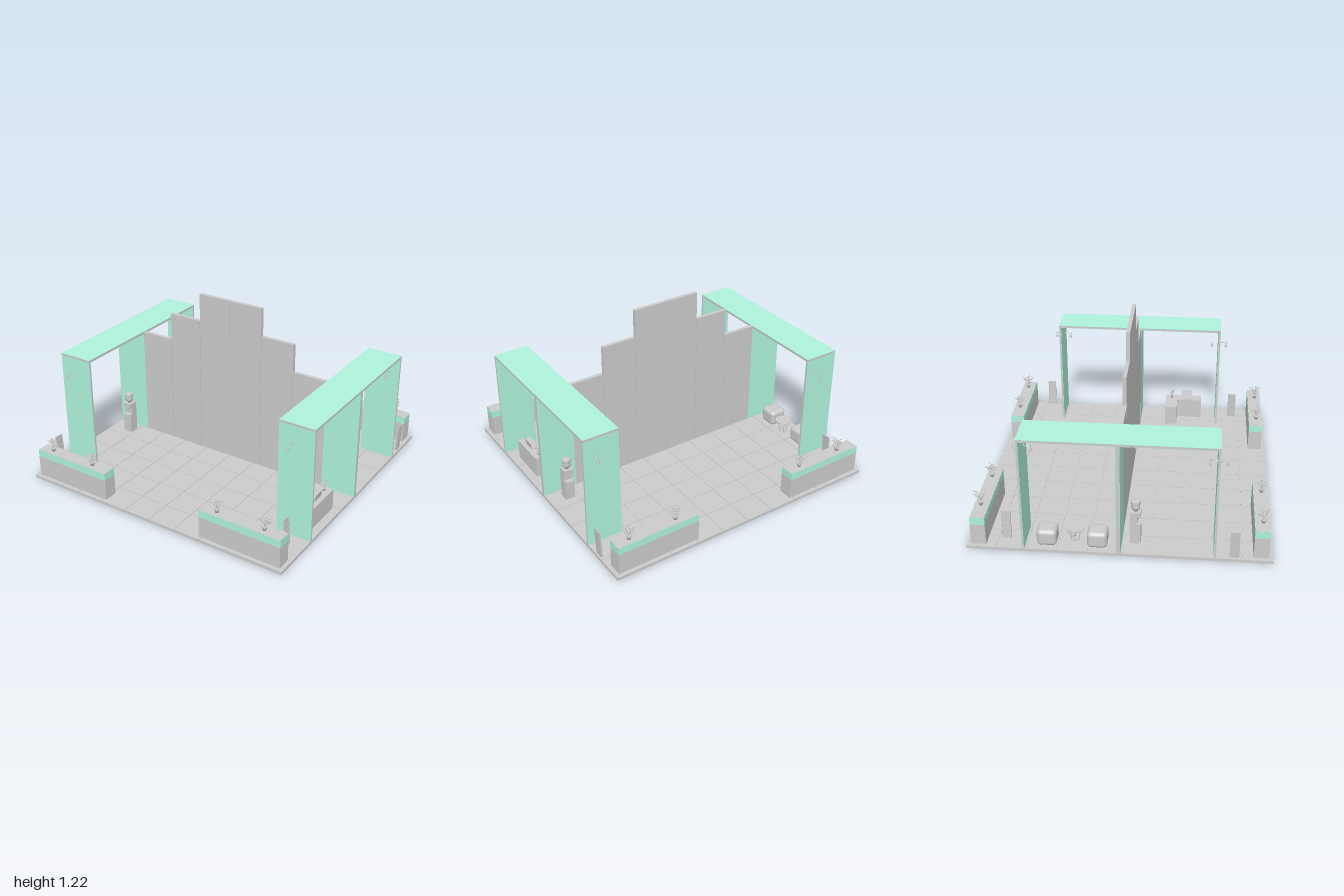
import * as THREE from 'three';
import { RoundedBoxGeometry } from 'three/addons/geometries/RoundedBoxGeometry.js';
import { mergeGeometries } from 'three/addons/utils/BufferGeometryUtils.js';

const grey = new THREE.MeshStandardMaterial({ color: 0xcccccc });
const green = new THREE.MeshStandardMaterial({ color: 0xaff3dc });
const leafMat = new THREE.MeshStandardMaterial({ color: 0xcccccc, side: THREE.DoubleSide });
const FLOOR = 0.02;

function add(parent, name, geo, x = 0, y = 0, z = 0, mat = grey) {
  const m = new THREE.Mesh(geo, mat);
  m.name = name;
  m.position.set(x, y, z);
  parent.add(m);
  return m;
}
// Box given by its centre in x and z and its bottom in y
function box(parent, name, w, h, d, x, y, z, mat = grey) {
  return add(parent, name, new THREE.BoxGeometry(w, h, d), x, y + h / 2, z, mat);
}
function group(parent, name, x = 0, y = 0, z = 0) {
  const g = new THREE.Group();
  g.name = name;
  g.position.set(x, y, z);
  parent.add(g);
  return g;
}
function seeded(seed) {
  let s = seed * 7919 + 17;
  return () => (s = (s * 16807) % 2147483647) / 2147483647;
}

// Potted plant: tapered pot, curved stems and flattened leaves
function plant(parent, x, y, z, seed, size = 1) {
  const g = group(parent, 'pottedPlant', x, y, z);
  g.scale.setScalar(size);
  const pot = [[0, 0], [0.011, 0], [0.015, 0.022], [0.018, 0.022], [0.018, 0.027], [0.014, 0.027], [0.013, 0.023], [0, 0.023]];
  add(g, 'pot', new THREE.LatheGeometry(pot.map(p => new THREE.Vector2(...p)), 16));
  const rnd = seeded(seed), stems = [], leaves = [];
  for (let i = 0; i < 9; i++) {
    const a = i * 2.4 + rnd() * 0.5, r = 0.012 + 0.026 * rnd(), top = 0.055 + 0.042 * rnd();
    const tip = new THREE.Vector3(Math.cos(a) * r, top, Math.sin(a) * r);
    const curve = new THREE.QuadraticBezierCurve3(
      new THREE.Vector3(0, 0.022, 0), new THREE.Vector3(tip.x * 0.3, top * 0.75, tip.z * 0.3), tip);
    stems.push(new THREE.TubeGeometry(curve, 5, 0.0011, 5));
    for (let k = 0; k < 5; k++) {
      const p = curve.getPoint(1 - 0.1 * k), b = a + k * 2.2;
      const leaf = new THREE.SphereGeometry(0.0095, 7, 4);
      leaf.scale(1, 0.22, 0.6);
      leaf.rotateZ(rnd() - 0.4);
      leaf.rotateY(-b);
      leaf.translate(p.x + Math.cos(b) * 0.009, p.y, p.z + Math.sin(b) * 0.009);
      leaves.push(leaf);
    }
  }
  add(g, 'stems', mergeGeometries(stems));
  add(g, 'leaves', mergeGeometries(leaves), 0, 0, 0, leafMat);
}

// Bracket lamp reaching along +z, with its head hanging down
function lamp(parent, x, z, dir) {
  const g = group(parent, 'spotlight', x, 0.688, z);
  if (dir < 0) g.rotation.y = Math.PI;
  add(g, 'wallPlate', new THREE.CylinderGeometry(0.008, 0.008, 0.004, 12).rotateX(Math.PI / 2), 0, 0, 0.002);
  add(g, 'arm', new THREE.CylinderGeometry(0.002, 0.002, 0.055, 8).rotateX(Math.PI / 2), 0, 0, 0.027);
  add(g, 'joint', new THREE.SphereGeometry(0.004, 10, 8), 0, 0, 0.052);
  add(g, 'neck', new THREE.CylinderGeometry(0.002, 0.002, 0.016, 8), 0, -0.007, 0.045);
  add(g, 'lampHead', new THREE.CylinderGeometry(0.006, 0.01, 0.022, 14), 0, -0.024, 0.045);
}

// Panel with green faces and grey edges; the skin follows the thin axis
function portalPanel(parent, name, w, h, d, x, y, z) {
  const s = 0.002, flat = h < d;
  const g = group(parent, name, x, y, z);
  add(g, 'core', new THREE.BoxGeometry(w, h, d));
  for (const k of [-1, 1]) {
    const skin = flat ? new THREE.BoxGeometry(w, s, d) : new THREE.BoxGeometry(w, h, s);
    add(g, 'skin', skin, 0, flat ? k * (h + s) / 2 : 0, flat ? 0 : k * (d + s) / 2, green);
  }
}

// Leaning leaflet stand with pockets, facing +x
function leafletStand(parent, x, z, turn) {
  const g = group(parent, 'leafletStand', x, FLOOR, z);
  if (turn) g.rotation.y = Math.PI;
  const board = group(g, 'board');
  board.rotation.z = 0.05;
  box(board, 'backBoard', 0.004, 0.2, 0.06, 0, 0, 0);
  for (const s of [-1, 1]) box(board, 'sideRail', 0.011, 0.2, 0.003, 0.004, 0, s * 0.0285);
  for (let i = 0; i < 4; i++) {
    box(board, 'pocketShelf', 0.011, 0.003, 0.06, 0.004, 0.012 + i * 0.046, 0);
    box(board, 'pocketFront', 0.002, 0.02, 0.06, 0.009, 0.012 + i * 0.046, 0);
  }
}

// Water dispenser facing +z
function waterDispenser(parent, x, z, turn) {
  const g = group(parent, 'waterDispenser', x, FLOOR, z);
  if (turn) g.rotation.y = Math.PI;
  box(g, 'cabinet', 0.068, 0.145, 0.068, 0, 0, 0);
  box(g, 'backPart', 0.068, 0.055, 0.045, 0, 0.145, -0.0115);
  box(g, 'topPart', 0.068, 0.033, 0.068, 0, 0.2, 0);
  box(g, 'dripTray', 0.05, 0.006, 0.024, 0, 0.138, 0.032);
  for (const s of [-1, 1]) {
    add(g, 'tap', new THREE.CylinderGeometry(0.004, 0.004, 0.018, 10), s * 0.015, 0.186, 0.02);
    box(g, 'tapLever', 0.006, 0.004, 0.014, s * 0.015, 0.194, 0.018);
  }
  const bottle = [[0, 0.232], [0.014, 0.232], [0.014, 0.242], [0.028, 0.252], [0.029, 0.272], [0.026, 0.276],
    [0.026, 0.282], [0.029, 0.286], [0.029, 0.304], [0.025, 0.31], [0, 0.31]];
  add(g, 'waterBottle', new THREE.LatheGeometry(bottle.map(p => new THREE.Vector2(...p)), 24));
}

export function createModel() {
  const model = new THREE.Group();
  model.name = 'exhibitionBooth';

  // Floor of 10 x 10 tiles over a thin base
  const floor = group(model, 'floor');
  box(floor, 'floorBase', 1.994, 0.014, 1.96, 0, 0.002, 0);
  const tile = new THREE.BoxGeometry(0.196, FLOOR, 0.1926);
  for (let i = 0; i < 10; i++)
    for (let j = 0; j < 10; j++)
      add(floor, 'floorTile', tile, -0.9 + 0.2 * i, FLOOR / 2, (j - 4.5) * 0.1966);

  // Stepped dividing wall
  const wall = group(model, 'dividingWall');
  [1.22, 1.02, 0.82].forEach((top, i) => {
    for (const s of [-1, 1])
      box(wall, 'wallPanel', 0.247, top - FLOOR, 0.026, s * (0.125 + 0.25 * i), FLOOR, 0);
  });

  for (const s of [-1, 1]) {
    // Portals at both sides
    const x = s * 0.875, portal = group(model, s > 0 ? 'leftPortal' : 'rightPortal');
    portalPanel(portal, 'portalRoof', 0.25, 0.014, 1.24, x, 0.814, 0);
    for (const z of [-0.612, 0, 0.612])
      portalPanel(portal, 'portalPost', 0.25, 0.785, z ? 0.012 : 0.024, x, FLOOR + 0.3925, z);
    for (const e of [-1, 1]) {
      const lx = e * s > 0 ? s * (e > 0 ? 0.84 : 0.83) : 0;
      const lampX = s > 0 ? (e > 0 ? 0.84 : 0.925) : (e > 0 ? -0.915 : -0.83);
      lamp(portal, lampX, e * 0.62, e);
      lamp(portal, lampX, e * 0.604, -e);
    }

    // Counters at front and back, with a green band and two plants each
    for (const e of [-1, 1]) {
      const c = group(model, e > 0 ? 'frontCounter' : 'backCounter', s * 0.675, FLOOR, e * 0.905);
      box(c, 'counterBody', 0.592, 0.148, 0.098, 0, 0, 0);
      box(c, 'counterBand', 0.592, 0.05, 0.098, 0, 0.148, 0, green);
      box(c, 'counterTop', 0.588, 0.003, 0.094, 0, 0.1975, 0);
    }
  }
  [[-0.87, 1], [-0.52, 1], [0.49, 1], [0.835, 1], [-0.82, -1], [-0.48, -1], [0.53, -1], [0.87, -1]]
    .forEach(([x, e], i) => plant(model, x, 0.22, e * 0.91, i + 1));

  leafletStand(model, -0.98, 0.735, false);
  leafletStand(model, 0.89, 0.735, false);
  leafletStand(model, 0.985, -0.735, true);
  leafletStand(model, -0.89, -0.735, true);

  waterDispenser(model, -0.85, 0.1, false);
  waterDispenser(model, 0.86, -0.1, true);

  // L-shaped reception desk with laptop and small plant
  const desk = group(model, 'receptionDesk', 0, FLOOR, 0);
  box(desk, 'deskFront', 0.09, 0.148, 0.28, 0.895, 0, 0.35);
  box(desk, 'deskReturn', 0.13, 0.148, 0.09, 0.785, 0, 0.255);
  const laptop = group(desk, 'laptop', 0.895, 0.148, 0.375);
  box(laptop, 'keyboardPart', 0.055, 0.004, 0.085, -0.01, 0, 0);
  box(laptop, 'screen', 0.004, 0.055, 0.085, 0.018, 0.002, 0).rotation.z = -0.25;
  plant(model, 0.895, FLOOR + 0.148, 0.255, 20, 0.72);

  // Lounge corner: two padded stools and a round glass-topped table
  for (const z of [-0.14, -0.465])
    add(model, 'paddedStool', new RoundedBoxGeometry(0.13, 0.115, 0.13, 4, 0.028), -0.9, FLOOR + 0.0575, z);
  const table = group(model, 'roundTable', -0.87, FLOOR, -0.29);
  add(table, 'tableTop', new THREE.CylinderGeometry(0.058, 0.058, 0.005, 32), 0, 0.093, 0);
  add(table, 'tableRing', new THREE.TorusGeometry(0.024, 0.002, 6, 24).rotateX(Math.PI / 2), 0, 0.004, 0);
  for (let i = 0; i < 6; i++) {
    const a = i * Math.PI / 3;
    const leg = new THREE.LineCurve3(
      new THREE.Vector3(Math.cos(a) * 0.024, 0.002, Math.sin(a) * 0.024),
      new THREE.Vector3(Math.cos(a) * 0.046, 0.092, Math.sin(a) * 0.046));
    add(table, 'tableLeg', new THREE.TubeGeometry(leg, 1, 0.0022, 6));
  }
  return model;
}
